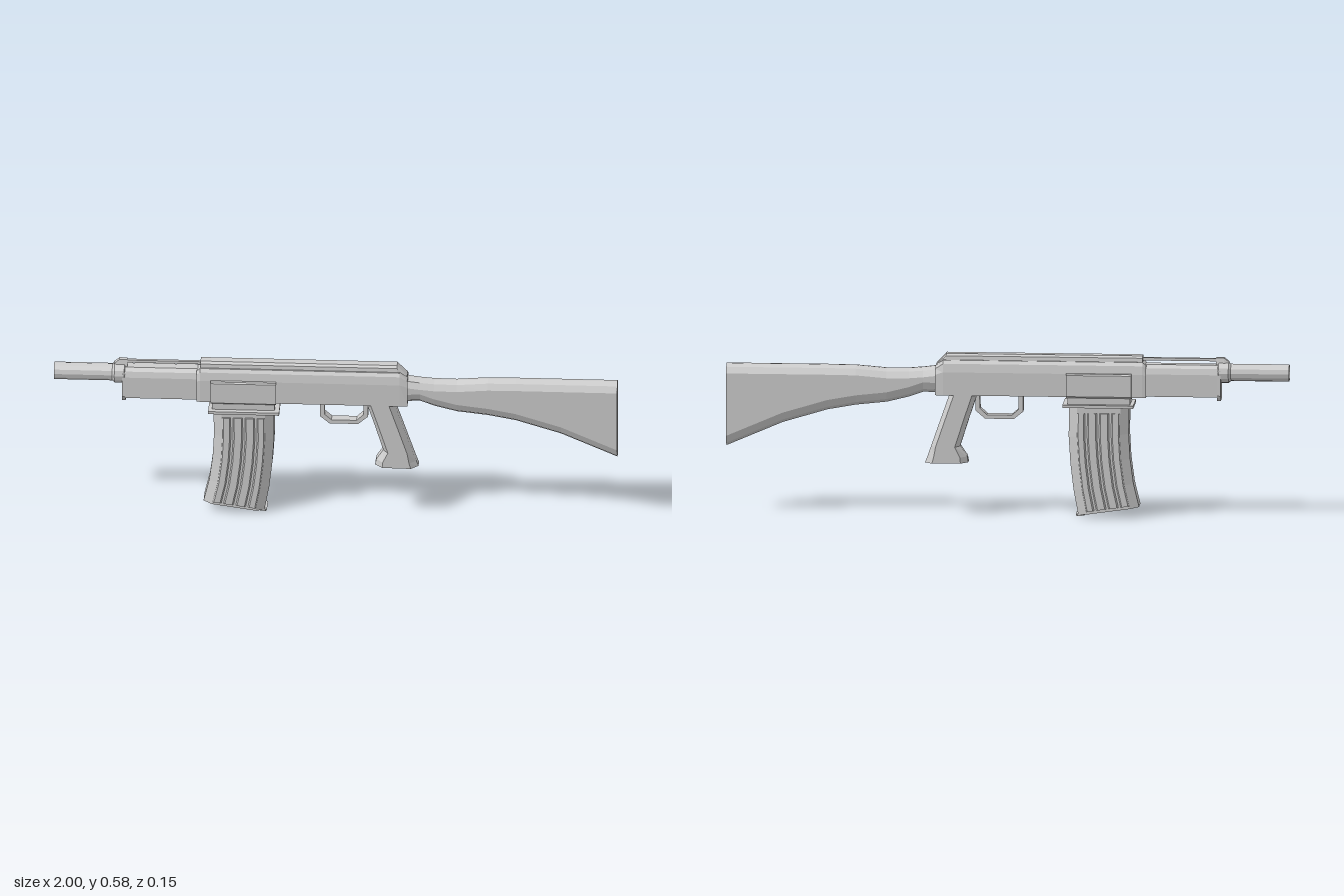
import * as THREE from 'three';

const metal = new THREE.MeshStandardMaterial({ color: 0xcccccc });
metal.name = 'light grey metal';

function part(group, name, geometry) {
  const g = geometry.index ? geometry.toNonIndexed() : geometry;
  g.computeVertexNormals();
  const mesh = new THREE.Mesh(g, metal);
  mesh.name = name;
  group.add(mesh);
  return mesh;
}

// Capped skin through matching rings of [x, y, z]; faces always turned outward
function loft(rings) {
  const tris = [];
  const n = rings[0].length;
  for (let i = 0; i < rings.length - 1; i++) {
    for (let j = 0; j < n; j++) {
      const k = (j + 1) % n;
      const [a, b, c, d] = [rings[i][j], rings[i][k], rings[i + 1][k], rings[i + 1][j]];
      tris.push([a, b, c], [a, c, d]);
    }
  }
  const last = rings[rings.length - 1];
  for (let j = 1; j < n - 1; j++) {
    tris.push([rings[0][0], rings[0][j + 1], rings[0][j]], [last[0], last[j], last[j + 1]]);
  }
  let volume = 0;
  const [A, B, C] = [0, 1, 2].map(() => new THREE.Vector3());
  for (const t of tris) {
    volume += A.fromArray(t[0]).dot(B.fromArray(t[1]).cross(C.fromArray(t[2])));
  }
  if (volume < 0) tris.forEach((t) => t.reverse());
  const g = new THREE.BufferGeometry();
  g.setAttribute('position', new THREE.Float32BufferAttribute(tris.flat(2), 3));
  return g;
}

// Half outline of [y, z], top to bottom, mirrored into a full ring at x
const ringX = (x, half) => [
  ...half.map(([y, z]) => [x, y, z]),
  ...half.slice().reverse().map(([y, z]) => [x, y, -z]),
];

function box(group, name, x0, x1, y0, y1, w) {
  const m = part(group, name, new THREE.BoxGeometry(x1 - x0, y1 - y0, w * 2));
  m.position.set((x0 + x1) / 2, (y0 + y1) / 2, 0);
}

// Turned part along x, profile of [radius, x]
function turned(group, name, profile, y, sides) {
  const g = new THREE.LatheGeometry(profile.map(([r, x]) => new THREE.Vector2(r, -x)), sides);
  part(group, name, g.rotateZ(Math.PI / 2)).position.y = y;
}

// Eight-sided upright section with chamfered corners
function slab(x0, y0, x1, y1, w, flat, cx) {
  const at = (u, z) => [x0 + (x1 - x0) * u, y0 + (y1 - y0) * u, z];
  return [at(0, flat), at(cx, w), at(1 - cx, w), at(1, flat),
    at(1, -flat), at(1 - cx, -w), at(cx, -w), at(0, -flat)];
}

export function createModel() {
  const model = new THREE.Group();
  model.name = 'rifle';

  // Receiver with a narrower ridge on top, both sloping down at the rear
  const body = [[0.557, 0.034], [0.545, 0.042], [0.515, 0.047], [0.432, 0.047]];
  part(model, 'receiver', loft([
    ringX(-0.493, [[0.545, 0.03], [0.535, 0.038], [0.51, 0.045], [0.432, 0.045]]),
    ringX(-0.48, body), ringX(0.228, body),
    ringX(0.256, [[0.535, 0.022], [0.526, 0.036], [0.505, 0.043], [0.432, 0.046]])]));
  const ridge = [[0.578, 0.016], [0.571, 0.026], [0.55, 0.029]];
  part(model, 'receiverRidge', loft([ringX(-0.48, ridge), ringX(0.218, ridge),
    ringX(0.254, [[0.541, 0.014], [0.539, 0.021], [0.532, 0.024]])]));

  // Handguard, front lip and the thin rod above it
  const guard = [[0.548, 0.018], [0.536, 0.03], [0.515, 0.036], [0.435, 0.036]];
  part(model, 'handguard', loft([ringX(-0.75, guard), ringX(-0.485, guard)]));
  const lip = [[0.545, 0.02], [0.53, 0.036], [0.44, 0.037], [0.421, 0.024]];
  part(model, 'handguardLip', loft([ringX(-0.758, lip), ringX(-0.745, lip)]));
  box(model, 'topRod', -0.765, -0.478, 0.56, 0.57, 0.006);
  part(model, 'frontSight', loft([
    ringX(-0.787, [[0.558, 0.01], [0.535, 0.014]]),
    ringX(-0.768, [[0.573, 0.01], [0.535, 0.016]]),
    ringX(-0.74, [[0.573, 0.008], [0.535, 0.016]])]));

  // Hollow barrel and collar
  turned(model, 'barrel', [[0.031, -0.74], [0.031, -1], [0.026, -1], [0.026, -0.82], [0, -0.82]], 0.52, 12);
  turned(model, 'barrelCollar', [[0.031, -0.745], [0.038, -0.75], [0.038, -0.785], [0.031, -0.793]], 0.52, 12);

  // Magazine well
  const well = [[0.517, 0.058], [0.512, 0.062], [0.436, 0.062], [0.428, 0.051]];
  part(model, 'magazineWell', loft([ringX(-0.442, well), ringX(-0.21, well)]));
  box(model, 'wellNeck', -0.437, -0.215, 0.404, 0.435, 0.053);
  box(model, 'wellFlange', -0.45, -0.198, 0.397, 0.407, 0.073);

  // Curved magazine: front x, front y, rear x, rear y
  const path = [[-0.433, 0.4, -0.219, 0.4], [-0.431, 0.3, -0.218, 0.288],
    [-0.436, 0.21, -0.224, 0.193], [-0.448, 0.12, -0.235, 0.098], [-0.468, 0.037, -0.252, 0.006]];
  part(model, 'magazine', loft(path.map((p) => slab(...p, 0.053, 0.034, 0.14))));
  const ribs = new THREE.Group();
  ribs.name = 'magazineRibs';
  model.add(ribs);
  const ribPath = [[-0.432, 0.375, -0.219, 0.375], ...path.slice(1, 4), [-0.466, 0.047, -0.25, 0.016]];
  for (const [u0, u1] of [[0.14, 0.29], [0.32, 0.49], [0.52, 0.69], [0.72, 0.86]]) {
    for (const side of [1, -1]) {
      part(ribs, 'magazineRib', loft(ribPath.map(([x0, y0, x1, y1]) => {
        const at = (u, z) => [x0 + (x1 - x0) * u, y0 + (y1 - y0) * u, z * side];
        return [at(u0, 0.052), at(u0 + 0.025, 0.0585), at(u1 - 0.025, 0.0585), at(u1, 0.052)];
      })));
    }
  }
  part(model, 'magazineLip', loft([
    slab(-0.275, 0.012, -0.243, 0.008, 0.034, 0.03, 0.15),
    slab(-0.275, 0.004, -0.245, 0, 0.034, 0.03, 0.15)]));

  // Trigger guard loop
  const loop = (pts) => pts.map(([x, y]) => new THREE.Vector2(x, y));
  const outline = new THREE.Shape(loop([[-0.055, 0.436], [-0.055, 0.372], [-0.022, 0.345],
    [0.08, 0.345], [0.115, 0.375], [0.115, 0.436]]));
  outline.holes.push(new THREE.Path(loop([[-0.039, 0.431], [0.1, 0.431], [0.098, 0.382],
    [0.074, 0.359], [-0.015, 0.359], [-0.039, 0.38]])));
  part(model, 'triggerGuard', new THREE.ExtrudeGeometry(outline, { depth: 0.036, bevelEnabled: false }))
    .position.z = -0.018;

  // Pistol grip, flared at the foot
  const grip = [[0.106, 0.44, 0.204, 0.44], [0.139, 0.34, 0.239, 0.34], [0.169, 0.245, 0.272, 0.245],
    [0.144, 0.208, 0.286, 0.205], [0.14, 0.187, 0.294, 0.185]];
  part(model, 'grip', loft(grip.map((p) => slab(...p, 0.044, 0.017, 0.17))));

  // Shoulder stock: x, top, bottom, half width
  const stock = [[0.245, 0.533, 0.436, 0.038], [0.3, 0.526, 0.438, 0.036], [0.35, 0.522, 0.42, 0.036],
    [0.43, 0.521, 0.4, 0.036], [0.54, 0.53, 0.388, 0.037], [0.64, 0.531, 0.37, 0.037],
    [0.8, 0.531, 0.322, 0.037], [1, 0.531, 0.236, 0.037]];
  part(model, 'stock', loft(stock.map(([x, top, bottom, w]) => ringX(x, [
    [top, 0.006], [top - 0.01, w * 0.68], [top - 0.032, w],
    [bottom + 0.038, w], [bottom + 0.012, w * 0.7], [bottom, 0.008]]))));

  return model;
}
